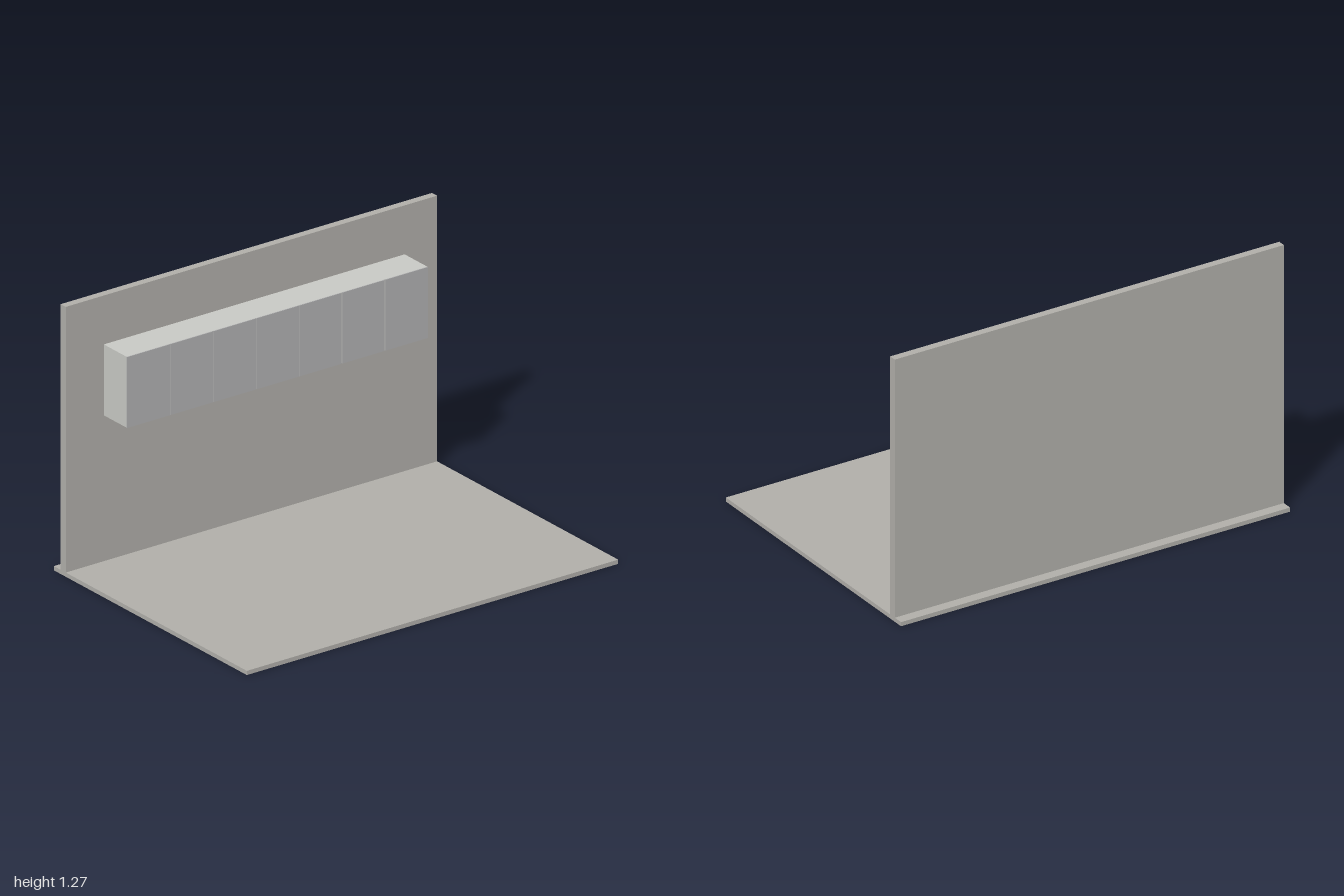
import * as THREE from 'three';

const FLOOR = 0xb0aea9, CARCASS = 0xc8c9c4, DOOR = 0xb0b0b1;

// Box given by its minimum and maximum on each axis
function box(name, [x0, x1], [y0, y1], [z0, z1], color) {
  const mesh = new THREE.Mesh(
    new THREE.BoxGeometry(x1 - x0, y1 - y0, z1 - z0),
    new THREE.MeshStandardMaterial({ color })
  );
  mesh.position.set((x0 + x1) / 2, (y0 + y1) / 2, (z0 + z1) / 2);
  mesh.name = name;
  return mesh;
}

export function createModel() {
  const model = new THREE.Group();
  model.name = 'roomCorner';

  // Floor slab and the wall standing near its back edge
  model.add(box('floor', [-1, 1], [0, 0.02], [-0.7, 0.7], FLOOR));
  model.add(box('backWall', [-1, 1], [0.02, 1.275], [-0.65, -0.613], FLOOR));

  // Wall cabinet: one long carcass with a row of thin doors
  const cabinet = new THREE.Group();
  cabinet.name = 'wallCabinet';
  const half = 0.81, count = 7, gap = 0.004, bottom = 0.72, top = 1.055;
  cabinet.add(box('carcass', [-half, half], [bottom, top], [-0.593, -0.428], CARCASS));
  const pitch = (2 * half) / count;
  for (let i = 0; i < count; i++) {
    const x0 = -half + i * pitch + (i > 0 ? gap / 2 : 0);
    const x1 = -half + (i + 1) * pitch - (i < count - 1 ? gap / 2 : 0);
    cabinet.add(box(`door${i + 1}`, [x0, x1], [bottom, top], [-0.428, -0.423], DOOR));
  }
  model.add(cabinet);

  return model;
}
